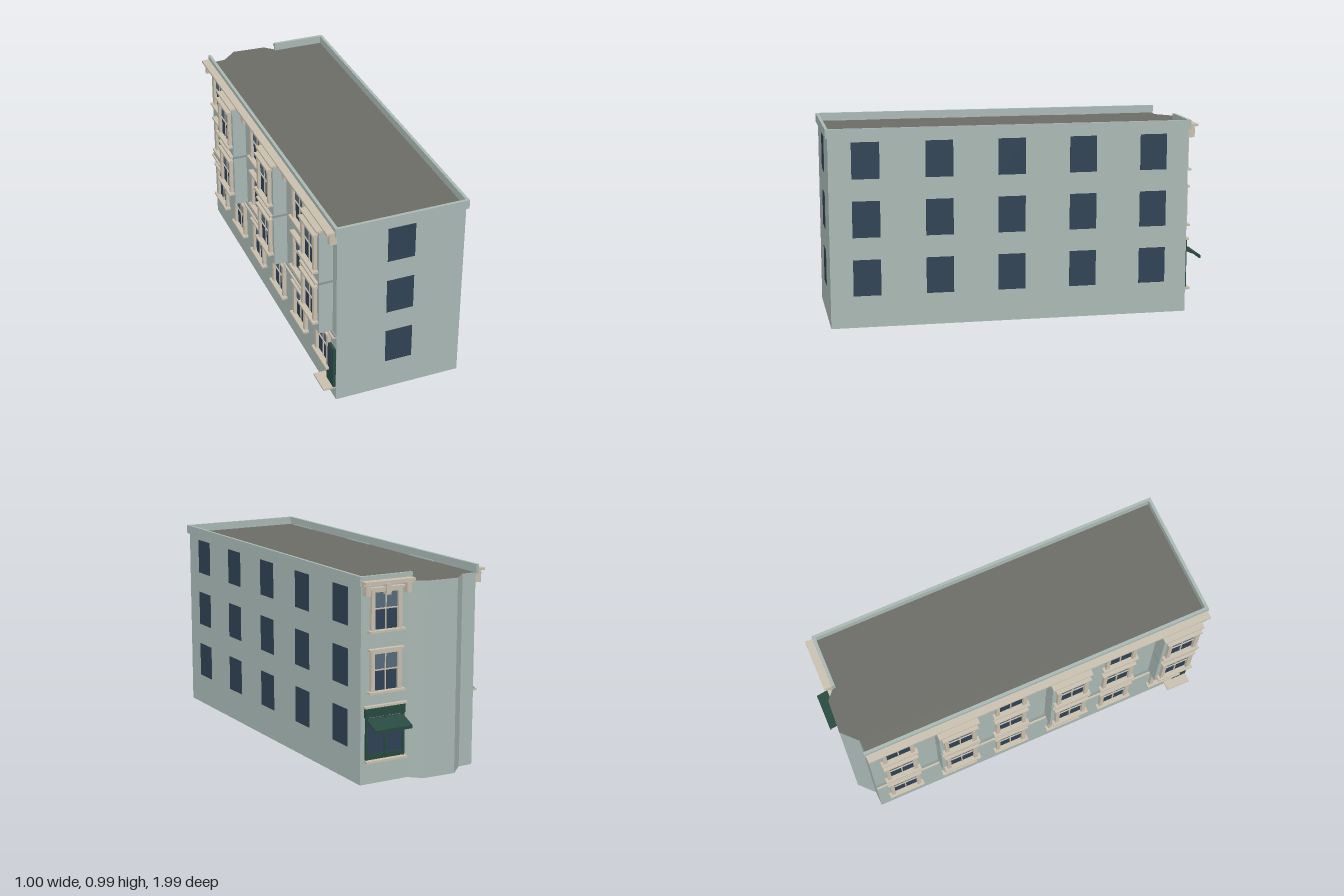
import * as THREE from 'three';

const mat = (color) => new THREE.MeshStandardMaterial({ color });
const M = {
  wall: mat(0xa9b8b4), roof: mat(0x6b6c66), trim: mat(0xc8bfae),
  glass: mat(0x2f4254), sash: mat(0x566a7b), green: mat(0x274a3f), band: mat(0x8a9895),
};

// Footprint corners [x, z], walked with the outside on the right-hand side
const P = {
  frontLeft: [-0.145, 0.978], frontRight: [0.487, 0.872], backRight: [0.18, -0.914],
  notchEnd: [-0.075, -0.875], notchB: [-0.14, -0.918], notchA: [-0.31, -0.9],
  notchStart: [-0.375, -0.815], backLeft: [-0.45, -0.8],
};
const ROOF = 0.95;

// Box from its low corner and size, in a facade's own frame
function box(parent, name, material, x, y, z, w, h, d) {
  const mesh = new THREE.Mesh(new THREE.BoxGeometry(w, h, d), material);
  mesh.name = name;
  mesh.position.set(x + w / 2, y + h / 2, z + d / 2);
  parent.add(mesh);
  return mesh;
}

// Facade frame: x runs along the wall, z points outward
function facade(root, name, a, b) {
  const g = new THREE.Group();
  g.name = name;
  g.position.set(a[0], 0, a[1]);
  g.rotation.y = Math.atan2(a[1] - b[1], b[0] - a[0]);
  g.userData.length = Math.hypot(b[0] - a[0], b[1] - a[1]);
  root.add(g);
  return g;
}

// Sash window with jambs, sill and hood, centred on x
function sashWindow(parent, x, y, z = 0, w = 0.165, h = 0.2) {
  const g = new THREE.Group();
  g.name = 'sashWindow';
  g.position.set(x, y, z);
  parent.add(g);
  const j = 0.02, half = w / 2, mid = h * 0.52;
  box(g, 'lowerPane', M.glass, -half + j, 0, 0, w - 2 * j, mid, 0.003);
  box(g, 'upperPane', M.sash, -half + j, mid, 0, w - 2 * j, h - mid, 0.005);
  for (const s of [-1, 1]) box(g, 'jamb', M.trim, s * (half - j / 2) - j / 2, 0, 0, j, h, 0.018);
  box(g, 'lintel', M.trim, -half, h - 0.018, 0, w, 0.018, 0.018);
  box(g, 'hood', M.trim, -half - 0.01, h - 0.005, 0, w + 0.02, 0.011, 0.026);
  box(g, 'sill', M.trim, -half - 0.014, -0.005, 0, w + 0.028, 0.011, 0.03);
  box(g, 'meetingRail', M.trim, -half + j, mid - 0.003, 0, w - 2 * j, 0.006, 0.01);
  box(g, 'mullion', M.trim, -0.003, 0, 0, 0.006, h, 0.008);
}

function cornice(parent, length, brackets) {
  box(parent, 'corniceShelf', M.trim, -0.005, 0.957, 0, length + 0.01, 0.012, 0.05);
  box(parent, 'corniceMoulding', M.trim, -0.003, 0.947, 0, length + 0.006, 0.01, 0.03);
  for (const x of brackets) box(parent, 'corniceBracket', M.trim, x - 0.0125, 0.9, 0, 0.025, 0.05, 0.035);
}

function parapet(parent) {
  box(parent, 'parapet', M.wall, -0.011, 0.945, -0.004, parent.userData.length + 0.022, 0.045, 0.015);
}

export function createModel() {
  const root = new THREE.Group();
  root.name = 'cornerBuilding';

  // Main block with the notched back corner
  const shape = new THREE.Shape(Object.values(P).map(([x, z]) => new THREE.Vector2(x, -z)));
  const body = new THREE.Mesh(
    new THREE.ExtrudeGeometry(shape, { depth: ROOF, bevelEnabled: false }).rotateX(-Math.PI / 2),
    [M.roof, M.wall]);
  body.name = 'mainBlock';
  root.add(body);

  const front = facade(root, 'frontWall', P.frontLeft, P.frontRight);
  const side = facade(root, 'sideWall', P.frontRight, P.backRight);
  const back = facade(root, 'shopFacade', P.backRight, P.notchEnd);
  const street = facade(root, 'streetFacade', P.backLeft, P.frontLeft);
  [front, side, back, street].forEach(parapet);

  // Plain windows on the two flat walls
  for (const [wall, count] of [[front, 1], [side, 5]]) {
    const step = wall.userData.length / count;
    for (let i = 0; i < count; i++)
      for (const y of [0.16, 0.452, 0.742])
        box(wall, 'plainWindow', M.glass, (i + 0.5) * step - 0.0685, y, -0.002, 0.137, 0.181, 0.004);
  }

  // Street facade: six bays of windows, every other one an oriel
  const L = street.userData.length, pitch = L / 6, depth = 0.069;
  for (let i = 0; i < 6; i++) {
    const x = (i + 0.5) * pitch, oriel = i % 2 === 1;
    sashWindow(street, x, 0.153, 0, 0.165, 0.197);
    for (const y of [0.442, 0.73]) sashWindow(street, x, y, oriel ? depth : 0);
    if (!oriel) continue;
    box(street, 'oriel', M.wall, x - 0.104, 0.385, -0.01, 0.208, 0.57, depth + 0.01);
    box(street, 'orielBand', M.band, x - 0.107, 0.665, 0, 0.214, 0.011, depth + 0.003);
    box(street, 'orielBelt', M.trim, x - 0.1, 0.665, depth, 0.2, 0.011, 0.018);
    box(street, 'orielCap', M.trim, x - 0.106, 0.951, 0, 0.212, 0.01, depth + 0.012);
  }
  box(street, 'stringCourse', M.trim, 0, 0.37, 0, L, 0.009, 0.02);
  box(street, 'stringCourseBase', M.band, 0, 0.379, 0, L, 0.008, 0.01);
  cornice(street, L, [0.015, L / 3, 2 * L / 3, L - 0.015]);

  // Street door and its step
  box(street, 'door', M.green, L - 0.085, 0.075, 0, 0.08, 0.225, 0.014);
  box(street, 'doorGlass', M.glass, L - 0.07, 0.17, 0.013, 0.05, 0.11, 0.003);
  box(street, 'doorStep', M.trim, L - 0.135, 0.066, 0, 0.13, 0.01, 0.062);

  // Shop facade: two windows over a shopfront with an awning
  const B = back.userData.length, c = B / 2;
  for (const y of [0.442, 0.73]) sashWindow(back, c, y);
  cornice(back, B, [0.02, c, B - 0.02]);
  box(back, 'shopFascia', M.green, c - 0.11, 0.325, 0, 0.22, 0.045, 0.012);
  box(back, 'shopBelt', M.trim, c - 0.115, 0.37, 0, 0.23, 0.01, 0.02);
  box(back, 'shopGlass', M.glass, c - 0.1, 0.12, 0, 0.2, 0.2, 0.004);
  for (const x of [-0.105, -0.005, 0.095])
    box(back, 'shopFrame', M.green, c + x, 0.12, 0, 0.01, 0.205, 0.012);
  box(back, 'shopRail', M.green, c - 0.105, 0.12, 0, 0.21, 0.025, 0.01);
  box(back, 'shopSill', M.trim, c - 0.11, 0.108, 0, 0.22, 0.011, 0.032);

  // Awning: a sloped slab with a short valance
  const profile = new THREE.Shape([[0, 0.318], [0.085, 0.283], [0.085, 0.268], [0.078, 0.268], [0.078, 0.278], [0, 0.31]]
    .map(([z, y]) => new THREE.Vector2(z, y)));
  const awning = new THREE.Mesh(
    new THREE.ExtrudeGeometry(profile, { depth: 0.2, bevelEnabled: false }).rotateY(-Math.PI / 2), M.green);
  awning.name = 'awning';
  awning.position.set(c + 0.1, 0, 0.004);
  back.add(awning);

  return root;
}
